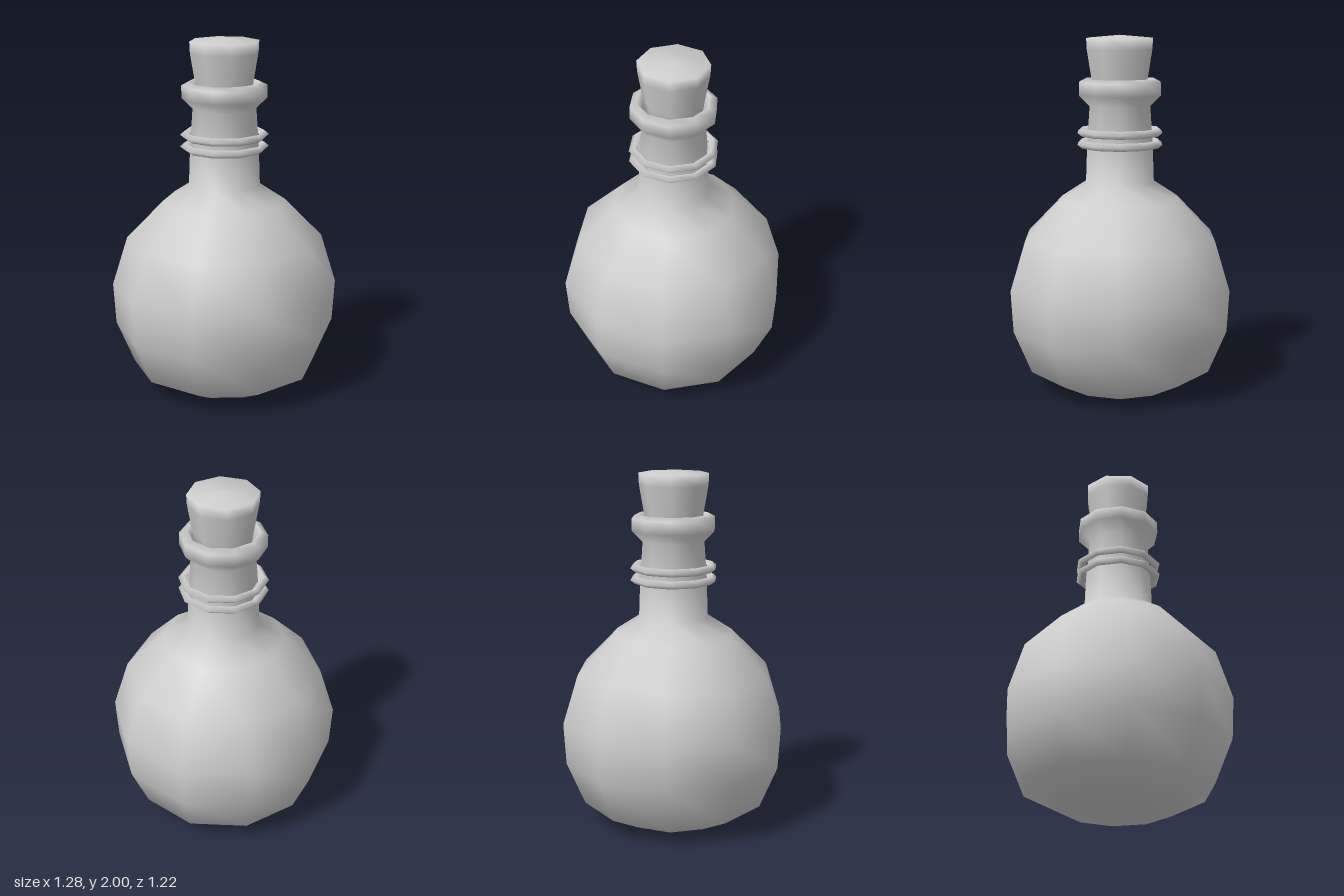
import * as THREE from 'three';

const grey = new THREE.MeshStandardMaterial({ color: 0xcccccc });
grey.name = 'plain grey';

// Turns a profile of [radius, height] points, with a corner on the x axis
function turned(name, points, sides) {
  const profile = points.map(([r, y]) => new THREE.Vector2(r, y));
  const mesh = new THREE.Mesh(new THREE.LatheGeometry(profile, sides, Math.PI / 2), grey);
  mesh.name = name;
  return mesh;
}

export function createModel() {
  const group = new THREE.Group();
  group.name = 'corkedBottle';

  // Round body, neck, flared lip and the inside of the mouth
  group.add(turned('bottle', [
    [0, 0], [0.31, 0], [0.525, 0.11], [0.628, 0.355], [0.642, 0.59],
    [0.555, 0.87], [0.345, 1.085], [0.2, 1.18], [0.192, 1.4], [0.177, 1.61],
    [0.238, 1.67], [0.238, 1.74], [0.197, 1.76], [0.17, 1.72], [0.165, 1.62],
  ], 10));

  // Two rings around the neck
  [1.397, 1.463].forEach((y, i) => {
    group.add(turned('neckRing' + (i + 1), [
      [0.195, y], [0.222, y - 0.022], [0.248, y], [0.222, y + 0.022], [0.195, y],
    ], 10));
  });

  // Tapered stopper with a slightly domed top
  group.add(turned('cork', [
    [0, 1.62], [0.145, 1.62], [0.165, 1.76], [0.192, 1.92], [0.195, 1.983], [0, 2],
  ], 8));

  return group;
}
